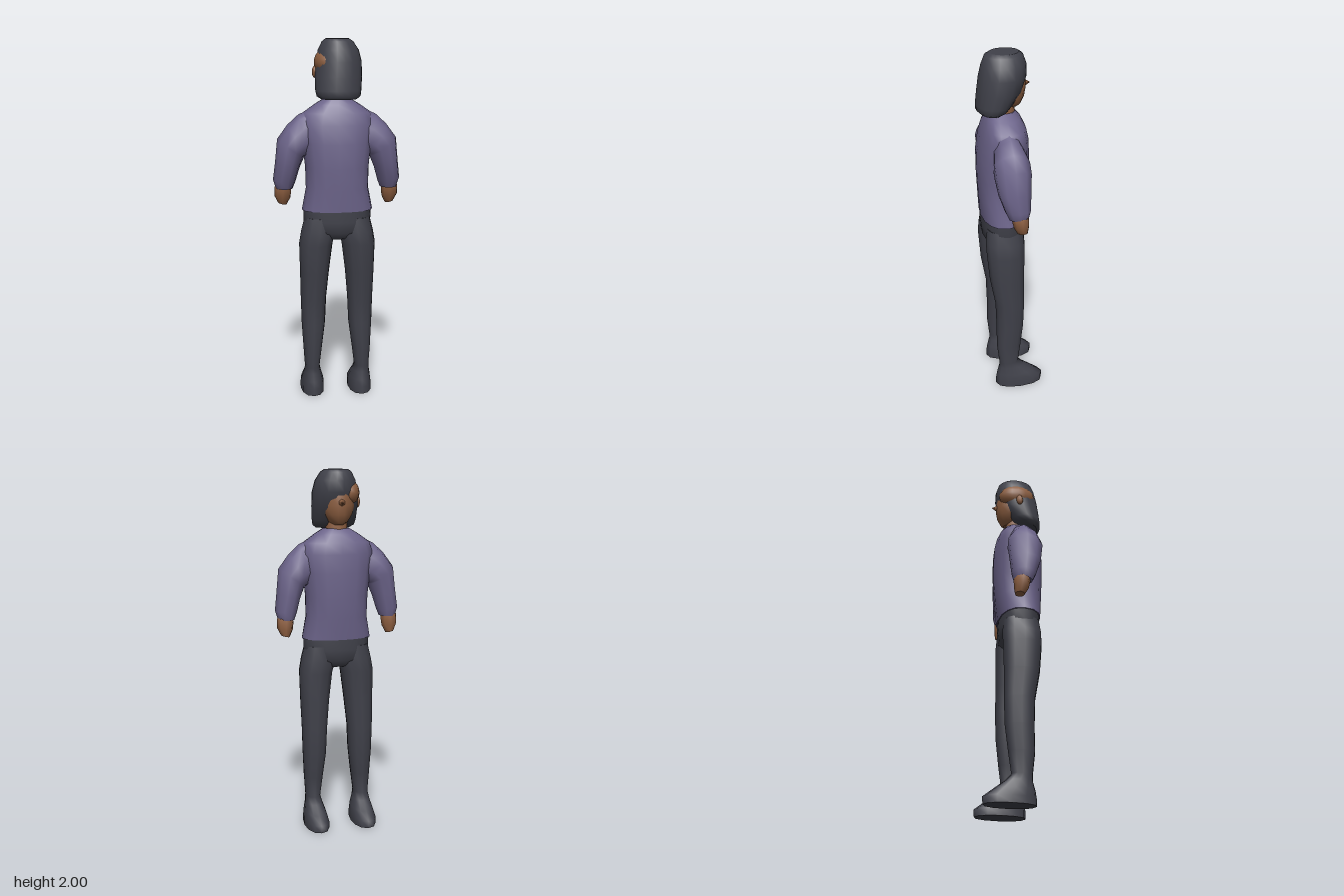
import * as THREE from 'three';

const mat = (name, color, side = THREE.FrontSide) => {
  const m = new THREE.MeshStandardMaterial({ color, side });
  m.name = name;
  return m;
};

// Closed skin over rings listed top to bottom: [x0, y0, x1, y1, zFront, zBack].
function loft(rings, sides = 12, power = 1) {
  const pos = [], idx = [];
  const bend = v => Math.sign(v) * Math.abs(v) ** power;
  const addRing = ([x0, y0, x1, y1, za, zb]) => {
    for (let j = 0; j < sides; j++) {
      const t = (j / sides) * Math.PI * 2;
      const u = bend(Math.cos(t)), w = bend(Math.sin(t));
      pos.push((x0 + x1) / 2 + u * (x1 - x0) / 2,
        (y0 + y1) / 2 + u * (y1 - y0) / 2,
        (za + zb) / 2 + w * (zb - za) / 2);
    }
  };
  rings.forEach(addRing);
  for (let i = 0; i < rings.length - 1; i++) {
    for (let j = 0; j < sides; j++) {
      const k = (j + 1) % sides;
      const a = i * sides + j, b = i * sides + k;
      idx.push(a, b, a + sides, b, b + sides, a + sides);
    }
  }
  // separate cap vertices keep the end edges crisp
  [rings[0], rings[rings.length - 1]].forEach((ring, end) => {
    const s = pos.length / 3;
    addRing(ring);
    for (let j = 1; j < sides - 1; j++) {
      if (end) idx.push(s, s + j, s + j + 1);
      else idx.push(s, s + j + 1, s + j);
    }
  });
  const g = new THREE.BufferGeometry();
  g.setAttribute('position', new THREE.Float32BufferAttribute(pos, 3));
  g.setIndex(idx);
  g.computeVertexNormals();
  return g;
}

// Level ring helpers and left-right mirroring
const level = ([y, x0, x1, za, zb]) => [x0, y, x1, y, za, zb];
const centred = ([y, r, za, zb]) => [-r, y, r, y, za, zb];
const mirror = ([x0, y0, x1, y1, za, zb]) => [-x1, y1, -x0, y0, za, zb];

export function createModel() {
  const model = new THREE.Group();
  model.name = 'standingPerson';
  const purple = mat('shirt purple', 0x6c648a);
  const dark = mat('charcoal', 0x40414a);
  const skin = mat('brown skin', 0x8c5e40);

  const add = (name, geometry, material, parent = model) => {
    const m = new THREE.Mesh(geometry, material);
    m.name = name;
    parent.add(m);
    return m;
  };

  // Shirt body, flared a little at the hem
  add('shirtBody', loft([
    [1.685, 0.07, -0.03, 0.1], [1.655, 0.12, -0.06, 0.12], [1.61, 0.185, -0.083, 0.138],
    [1.55, 0.205, -0.096, 0.155], [1.45, 0.19, -0.102, 0.172], [1.32, 0.175, -0.1, 0.172],
    [1.2, 0.172, -0.09, 0.166], [1.08, 0.195, -0.075, 0.157],
  ].map(centred), 16, 0.85), purple);

  // Hips
  add('hips', loft([
    [1.09, 0.188, -0.07, 0.152], [1.02, 0.186, -0.072, 0.152],
    [0.96, 0.17, -0.066, 0.148], [0.92, 0.1, -0.03, 0.11],
  ].map(centred), 16, 0.85), dark);

  // Leg running into the shoe
  const leg = [
    [1.04, 0.01, 0.18, -0.06, 0.14], [0.96, 0.005, 0.2, -0.067, 0.15],
    [0.89, 0.025, 0.212, -0.066, 0.148], [0.73, 0.045, 0.208, -0.062, 0.134],
    [0.57, 0.06, 0.204, -0.063, 0.105], [0.42, 0.067, 0.2, -0.058, 0.1],
    [0.28, 0.085, 0.192, -0.042, 0.1], [0.16, 0.1, 0.184, -0.026, 0.086],
    [0.125, 0.092, 0.188, -0.06, 0.087], [0.08, 0.078, 0.198, -0.12, 0.1],
    [0.04, 0.07, 0.205, -0.172, 0.106], [0, 0.07, 0.205, -0.17, 0.106],
  ].map(level);

  // Sleeve from inside the chest, over the shoulder, to the cuff
  const sleeve = [
    [0.1, 1.38, 0.12, 1.64, -0.03, 0.11], [0.16, 1.37, 0.21, 1.6, -0.05, 0.12],
    [0.172, 1.37, 0.27, 1.545, -0.064, 0.13], [0.18, 1.37, 0.325, 1.47, -0.064, 0.13],
    [0.205, 1.31, 0.338, 1.34, -0.058, 0.115], [0.228, 1.23, 0.35, 1.245, -0.052, 0.085],
    [0.242, 1.195, 0.335, 1.195, -0.042, 0.065],
  ];
  const hand = [
    [0.255, 1.22, 0.325, 1.22, -0.03, 0.045], [0.25, 1.18, 0.342, 1.2, -0.042, 0.05],
    [0.255, 1.14, 0.342, 1.15, -0.042, 0.04], [0.275, 1.1, 0.322, 1.11, -0.036, 0.018],
  ];
  for (const [side, place] of [['left', r => r], ['right', mirror]]) {
    add(side + 'Leg', loft(leg.map(place), 12, 0.9), dark);
    add(side + 'Sleeve', loft(sleeve.map(place), 10), purple);
    add(side + 'Hand', loft(hand.map(place), 8), skin);
  }

  // Neck, face and nose, looking towards -z
  const head = new THREE.Group();
  head.name = 'head';
  model.add(head);
  add('neck', loft([
    [1.76, 0.058, -0.03, 0.09], [1.69, 0.06, -0.034, 0.09], [1.62, 0.075, -0.04, 0.1],
  ].map(centred), 12), skin, head);
  add('face', loft([
    [1.93, 0.07, -0.07, 0.11], [1.87, 0.092, -0.087, 0.125], [1.81, 0.094, -0.09, 0.12],
    [1.76, 0.08, -0.082, 0.1], [1.72, 0.052, -0.065, 0.07], [1.705, 0.03, -0.045, 0.05],
  ].map(centred), 14), skin, head);
  const nose = add('nose', new THREE.ConeGeometry(0.028, 0.045, 6), skin, head);
  nose.rotation.x = -Math.PI / 2;
  nose.position.set(0, 1.825, -0.094);

  // Hair, cut away towards the back below the cheeks
  add('hair', loft([
    [2, -0.06, 0.065, -0.055, 0.1], [1.985, -0.08, 0.088, -0.075, 0.125],
    [1.94, -0.102, 0.118, -0.09, 0.143], [1.88, -0.114, 0.133, -0.092, 0.157],
    [1.8, -0.121, 0.133, -0.066, 0.167], [1.73, -0.121, 0.126, -0.02, 0.173],
    [1.7, -0.115, 0.12, 0.005, 0.172], [1.685, -0.09, 0.1, 0.03, 0.155],
  ].map(level), 18), dark, head);

  // Bare temple and ear on the right side
  const temple = add('temple', new THREE.SphereGeometry(1, 16, 12), skin, head);
  temple.scale.set(0.07, 0.076, 0.105);
  temple.position.set(-0.053, 1.875, 0.025);
  const ear = add('ear', new THREE.SphereGeometry(1, 8, 6), skin, head);
  ear.scale.set(0.014, 0.032, 0.02);
  ear.position.set(-0.12, 1.825, 0.03);

  return model;
}
